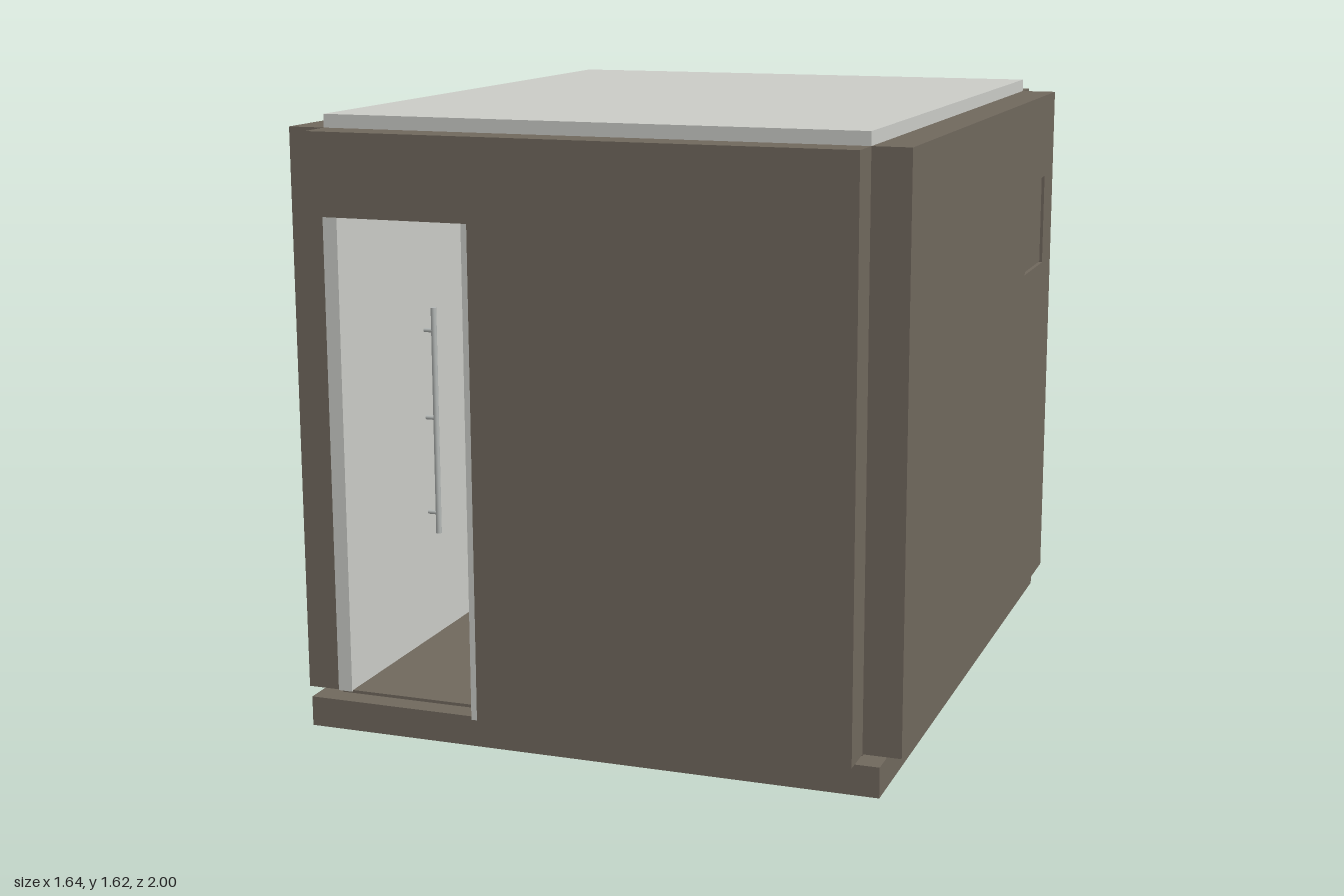
import * as THREE from 'three';

const material = (name, color, side = THREE.FrontSide) => {
  const m = new THREE.MeshStandardMaterial({ color, side });
  m.name = name;
  return m;
};

export function createModel() {
  const wall = material('taupe panel', 0x70685d);
  const white = material('off white', 0xcbccc7);
  const wood = material('red brown wood', 0x7a4830);
  const metal = material('brushed metal', 0xb4b8b6);
  const dark = material('dark seam', 0x3c3630);

  const model = new THREE.Group();
  model.name = 'bathroomPod';

  const add = (name, geometry, mat, x = 0, y = 0, z = 0) => {
    const mesh = new THREE.Mesh(geometry, mat);
    mesh.name = name;
    mesh.position.set(x, y, z);
    model.add(mesh);
    return mesh;
  };
  // Box given by its minimum and maximum corners
  const box = (name, mat, x0, x1, y0, y1, z0, z1) =>
    add(name, new THREE.BoxGeometry(x1 - x0, y1 - y0, z1 - z0), mat,
      (x0 + x1) / 2, (y0 + y1) / 2, (z0 + z1) / 2);
  const rod = (name, radius, length, mat, x, y, z) =>
    add(name, new THREE.CylinderGeometry(radius, radius, length, 16), mat, x, y, z);

  // Base, floor and roof
  box('base', wall, -0.78, 0.78, 0, 0.08, -0.96, 0.96);
  box('floor', wall, -0.72, 0.72, 0.08, 0.088, -0.9, 0.9);
  box('roof', white, -0.72, 0.72, 1.56, 1.625, -0.9, 0.9);

  // Outer walls
  box('leftOfDoorSideWall', wall, -0.82, -0.72, 0.085, 1.59, -0.9, 0.9);
  box('backWall', wall, -0.72, 0.72, 0.085, 1.59, -1, -0.9);

  // Front wall with the doorway cut from its lower corner
  const front = new THREE.Shape([
    [-0.72, 1.375], [-0.28, 1.375], [-0.28, 0.085],
    [0.72, 0.085], [0.72, 1.59], [-0.72, 1.59],
  ].map(([x, y]) => new THREE.Vector2(x, y)));
  add('frontWall', new THREE.ExtrudeGeometry(front, { depth: 0.1, bevelEnabled: false }), wall, 0, 0, 0.9);

  // Side wall with the opening for the access panel (shape x runs along -z)
  const side = new THREE.Shape([
    [-0.9, 0.085], [0.9, 0.085], [0.9, 1.59], [-0.9, 1.59],
  ].map(([x, y]) => new THREE.Vector2(x, y)));
  side.holes.push(new THREE.Path([
    [0.5, 1.08], [0.5, 1.345], [0.77, 1.345], [0.77, 1.08],
  ].map(([x, y]) => new THREE.Vector2(x, y))));
  const sideWall = add('panelSideWall',
    new THREE.ExtrudeGeometry(side, { depth: 0.1, bevelEnabled: false }), wall, 0.72, 0, 0);
  sideWall.rotation.y = Math.PI / 2;
  box('accessPanel', wall, 0.73, 0.812, 1.083, 1.342, -0.767, -0.503);

  // Inner linings and door jambs
  for (const s of [-1, 1]) {
    add('sideLining', new THREE.BoxGeometry(0.03, 1.472, 1.8), white, s * 0.705, 0.824, 0);
  }
  box('wallJamb', white, -0.73, -0.69, 0.085, 1.41, 0.86, 0.905);
  box('doorJamb', white, -0.298, -0.277, 0.085, 1.374, 0.89, 0.995);

  // Tall cabinet in the back corner, split into two doors
  box('tallCabinet', wood, -0.69, -0.49, 0.18, 1.45, -0.9, -0.55);
  box('cabinetSeam', dark, -0.69, -0.5, 0.634, 0.642, -0.55, -0.547);
  box('cabinetHandle', metal, -0.522, -0.516, 0.94, 1.09, -0.55, -0.53);

  // Vanity with counter and two drawers
  box('vanity', wood, -0.488, 0.11, 0.18, 0.54, -0.9, -0.52);
  box('counter', wall, -0.488, 0.11, 0.54, 0.636, -0.9, -0.51);
  for (const y of [0.525, 0.355]) {
    box('drawerSeam', dark, -0.488, 0.11, y, y + 0.007, -0.52, -0.517);
    box('drawerHandle', metal, -0.47, 0.09, y - 0.013, y - 0.005, -0.52, -0.5);
  }

  // Wash basin and tap
  const basin = [[0, 0.636], [0.11, 0.636], [0.16, 0.7], [0.15, 0.7], [0.1, 0.65], [0, 0.65]]
    .map(([x, y]) => new THREE.Vector2(x, y));
  add('basin', new THREE.LatheGeometry(basin, 32), white, 0, 0, -0.69).scale.set(0.75, 1, 0.75);
  rod('tapPost', 0.012, 0.16, metal, 0, 0.716, -0.85);
  box('tapSpout', metal, -0.01, 0.01, 0.78, 0.796, -0.85, -0.74);

  // Round mirror with metal rim
  const mirror = rod('mirror', 0.268, 0.02, white, -0.19, 1.075, -0.888);
  mirror.geometry = new THREE.CylinderGeometry(0.268, 0.268, 0.02, 64);
  mirror.rotation.x = Math.PI / 2;
  add('mirrorRim', new THREE.TorusGeometry(0.268, 0.006, 8, 64), metal, -0.19, 1.075, -0.88);

  // Vertical rail on the side wall
  rod('rail', 0.008, 0.65, metal, -0.66, 0.725, 0.42);
  for (const y of [0.46, 0.735, 0.985]) {
    rod('railBracket', 0.006, 0.034, metal, -0.675, y, 0.42).rotation.z = Math.PI / 2;
  }

  // Floor drain
  rod('floorDrain', 0.1, 0.012, dark, -0.39, 0.094, -0.3);

  return model;
}
